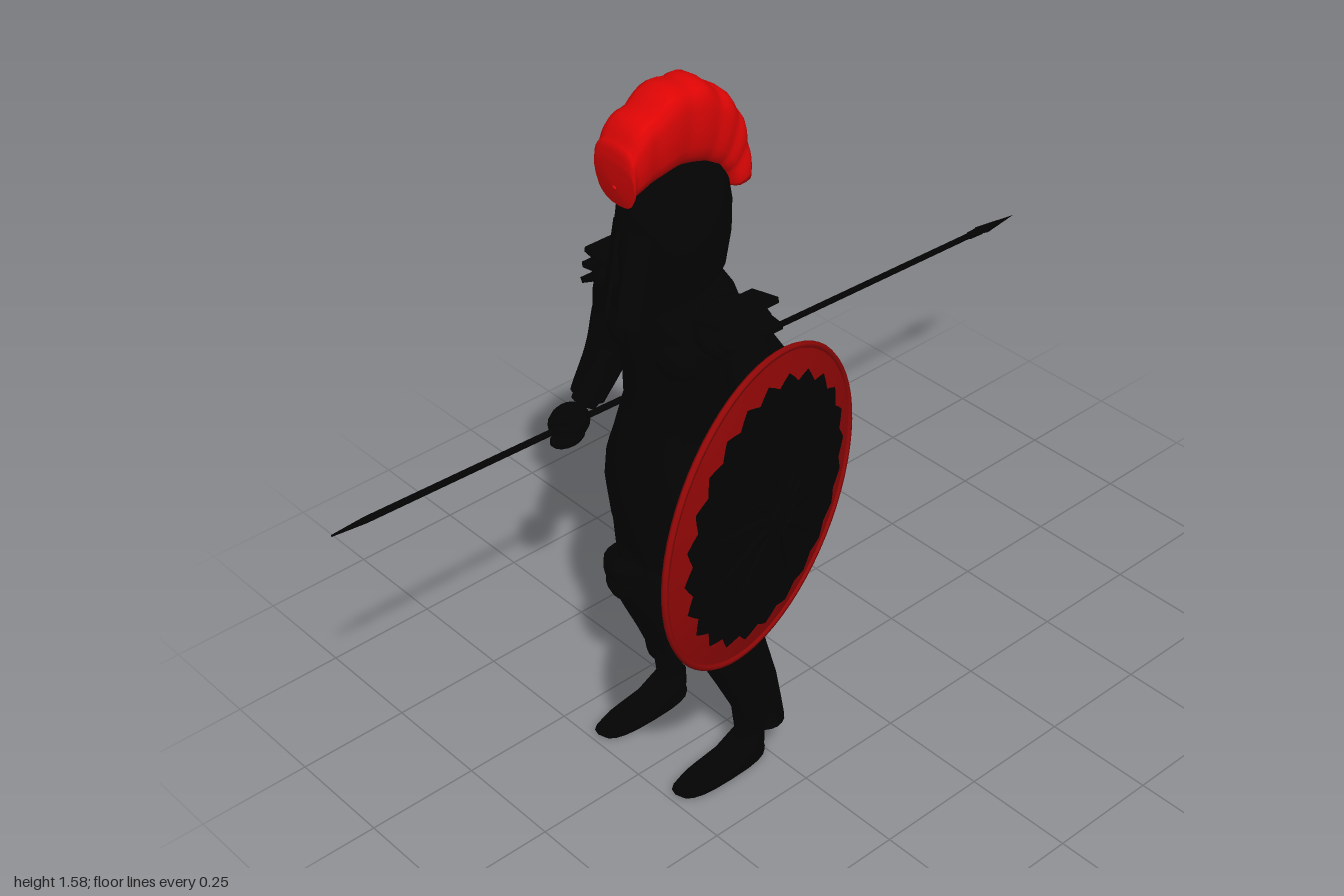
import * as THREE from 'three';

const V = (x, y, z) => new THREE.Vector3(x, y, z);
const MID = -0.018; // body centre line

// Skin a list of closed rings of points
function loft(rings) {
  const n = rings[0].length, pos = [], idx = [];
  rings.forEach(r => r.forEach(p => pos.push(p.x, p.y, p.z)));
  for (let j = 0; j < rings.length - 1; j++) {
    for (let i = 0; i < n; i++) {
      const a = j * n + i, b = j * n + (i + 1) % n;
      idx.push(a, b, b + n, a, b + n, a + n);
    }
  }
  const g = new THREE.BufferGeometry();
  g.setAttribute('position', new THREE.Float32BufferAttribute(pos, 3));
  g.setIndex(idx);
  g.computeVertexNormals();
  return g;
}

// Sine and cosine squared off by a power below 1
const soft = (v, power) => Math.sign(v) * Math.pow(Math.abs(v), power);

// Horizontal rounded sections, bottom to top: [y, cx, cz, rx, rz]
const body = (sections, n = 20, power = 1) => loft(sections.map(([y, cx, cz, rx, rz]) =>
  Array.from({ length: n }, (_, i) => {
    const a = i / n * Math.PI * 2;
    return V(cx + rx * soft(Math.sin(a), power), y, cz + rz * soft(Math.cos(a), power));
  })));

// Round limb along a curve with one radius for each point
function limb(points, radii) {
  const curve = new THREE.CatmullRomCurve3(points.map(p => V(...p)));
  const n = 12, steps = 12, last = radii.length - 1;
  const rings = [];
  for (let j = 0; j <= steps; j++) {
    const t = j / steps, k = Math.min(Math.floor(t * last), last - 1);
    const r = THREE.MathUtils.lerp(radii[k], radii[k + 1], t * last - k);
    const p = curve.getPoint(t), T = curve.getTangent(t);
    const B = T.clone().cross(V(0, 0.3, 1)).normalize(), N = B.clone().cross(T);
    rings.push(Array.from({ length: n }, (_, i) => {
      const a = i / n * Math.PI * 2;
      return p.clone().addScaledVector(N, r * Math.cos(a)).addScaledVector(B, r * Math.sin(a));
    }));
  }
  return loft(rings);
}

export function createModel() {
  const model = new THREE.Group();
  const mat = (name, color) => {
    const m = new THREE.MeshStandardMaterial({ color, side: THREE.DoubleSide });
    m.name = name;
    return m;
  };
  const black = mat('blackArmour', 0x030303);
  const crestRed = mat('crestRed', 0xde0505);
  const shieldRed = mat('shieldRed', 0x950707);
  const add = (name, geo, m = black, parent = model) => {
    const mesh = new THREE.Mesh(geo, m);
    mesh.name = name;
    parent.add(mesh);
    return mesh;
  };
  const unitSphere = new THREE.SphereGeometry(1, 14, 10);
  const ball = (name, x, y, z, sx, sy, sz) => {
    const b = add(name, unitSphere);
    b.position.set(x, y, z);
    b.scale.set(sx, sy, sz);
    return b;
  };

  // Torso and flared skirt
  add('cuirass', body([
    [0.72, MID, 0.33, 0.06, 0.1], [0.78, MID, 0.33, 0.13, 0.115], [0.86, MID, 0.33, 0.128, 0.105],
    [0.94, MID, 0.33, 0.135, 0.1], [1.02, MID, 0.33, 0.145, 0.11], [1.09, MID, 0.33, 0.152, 0.108],
    [1.14, MID, 0.33, 0.13, 0.095], [1.17, MID, 0.33, 0.075, 0.08], [1.22, MID, 0.335, 0.06, 0.07],
  ], 24));
  add('skirt', body([
    [0.525, -0.008, 0.325, 0.183, 0.125], [0.58, -0.015, 0.325, 0.194, 0.133], [0.65, -0.02, 0.325, 0.2, 0.136],
    [0.72, -0.022, 0.33, 0.182, 0.13], [0.79, -0.025, 0.33, 0.15, 0.12], [0.87, -0.022, 0.33, 0.126, 0.106],
  ], 28));

  for (const s of [-1, 1]) {
    ball('pectoral', MID + s * 0.062, 1.04, 0.4, 0.064, 0.055, 0.035);

    // Shoulder guards: a rounded cap under stacked flaps
    const cap = ball('pauldronCap', MID + s * 0.15, 1.11, 0.325, 0.07, 0.045, 0.085);
    cap.rotation.z = -s * 0.5;
    for (let k = 0; k < 3; k++) {
      const flap = add('pauldronFlap', new THREE.BoxGeometry(0.075, 0.012, 0.15 - k * 0.015));
      flap.position.set(MID + s * (0.158 + k * 0.02), 1.152 - k * 0.034, 0.325);
      flap.rotation.z = s * (0.2 - k * 0.35);
    }

    // Legs, greaves and feet
    const x = s < 0 ? -0.138 : 0.098, foot = s < 0 ? -0.144 : 0.109;
    add('thigh', body([
      [0.36, x, 0.325, 0.05, 0.07], [0.45, x + s * 0.004, 0.32, 0.056, 0.085], [0.60, x, 0.325, 0.068, 0.09],
    ], 16));
    add('greave', body([
      [0.112, foot + s * 0.018, 0.268, 0.056, 0.048], [0.15, x + s * 0.016, 0.272, 0.064, 0.053],
      [0.22, x + s * 0.008, 0.29, 0.066, 0.066], [0.30, x, 0.318, 0.077, 0.075],
      [0.36, x, 0.338, 0.076, 0.08], [0.41, x + s * 0.002, 0.355, 0.072, 0.083],
      [0.435, x, 0.375, 0.064, 0.063],
    ]));
    const knee = ball('kneeCap', x, 0.395, 0.4, 0.05, 0.05, 0.035);
    knee.rotation.x = -0.2;
    add('ankle', body([
      [0.03, foot, 0.288, 0.026, 0.038], [0.075, foot, 0.287, 0.02, 0.032], [0.17, foot, 0.285, 0.032, 0.042],
    ], 12));
    add('foot', body([
      [0, foot, 0.365, 0.004, 0.013], [0.001, foot, 0.365, 0.038, 0.115], [0.012, foot, 0.37, 0.039, 0.121],
      [0.024, foot, 0.36, 0.036, 0.108], [0.036, foot, 0.315, 0.034, 0.065], [0.07, foot, 0.287, 0.026, 0.037],
    ], 20, 0.75));

    // Cheek guards of the helmet
    const cheek = add('cheekGuard', new THREE.BoxGeometry(0.045, 0.19, 0.008));
    cheek.position.set(MID + s * 0.034, 1.215, 0.464);
    cheek.rotation.set(-0.22, s * 0.55, 0);
  }

  // Helmet
  add('helmet', body([
    [1.12, MID, 0.385, 0.055, 0.065], [1.15, MID, 0.365, 0.08, 0.09], [1.19, MID, 0.343, 0.093, 0.107],
    [1.26, MID, 0.335, 0.097, 0.116], [1.31, MID, 0.335, 0.095, 0.12], [1.35, MID, 0.335, 0.083, 0.118],
    [1.385, MID, 0.335, 0.063, 0.1], [1.41, MID, 0.332, 0.032, 0.06], [1.418, MID, 0.332, 0.006, 0.01],
  ], 24));
  const nose = add('noseGuard', new THREE.BoxGeometry(0.014, 0.12, 0.012));
  nose.position.set(MID, 1.27, 0.454);

  // Ribbed plume running front to back over the dome: [z, y] outlines
  const outline = pts => new THREE.CatmullRomCurve3(pts.map(([z, y]) => V(MID, y, z)));
  const outer = outline([[0.478, 1.45], [0.465, 1.505], [0.41, 1.55], [0.32, 1.578], [0.25, 1.545],
    [0.205, 1.495], [0.185, 1.43], [0.178, 1.33]]);
  const inner = outline([[0.468, 1.365], [0.455, 1.38], [0.41, 1.395], [0.34, 1.405], [0.28, 1.39],
    [0.25, 1.37], [0.232, 1.35], [0.222, 1.32]]);
  const plume = [], steps = 48;
  for (let j = 0; j <= steps; j++) {
    const t = j / steps, o = outer.getPoint(t), i = inner.getPoint(t);
    const half = o.clone().sub(i).multiplyScalar(0.5), mid = o.clone().add(i).multiplyScalar(0.5);
    const end = j === 0 || j === steps ? 0.08 : 1;
    const rib = 1 + 0.14 * (Math.abs(Math.sin(t * Math.PI * 7)) - 0.6);
    plume.push(Array.from({ length: 20 }, (_, k) => {
      const a = k / 20 * Math.PI * 2, c = Math.cos(a);
      const h = soft(c, 0.7) * end * (c > 0 ? rib : 1);
      const w = 0.062 * soft(Math.sin(a), 0.7) * end * (0.88 + 0.16 * c) * (0.5 + rib / 2);
      return mid.clone().addScaledVector(half, h).add(V(w, 0, 0));
    }));
  }
  add('plume', loft(plume), crestRed);

  // Arms, with the left forearm held inside the shield
  add('rightArm', limb([[-0.15, 1.1, 0.32], [-0.23, 1.04, 0.305], [-0.262, 0.95, 0.295], [-0.27, 0.85, 0.31],
    [-0.285, 0.75, 0.37]], [0.05, 0.05, 0.045, 0.04, 0.028]));
  add('leftArm', limb([[0.11, 1.1, 0.325], [0.175, 1.085, 0.335], [0.222, 1.03, 0.365], [0.236, 0.9, 0.385],
    [0.258, 0.74, 0.42]], [0.05, 0.048, 0.042, 0.038, 0.026]));
  add('rightBracer', limb([[-0.264, 0.95, 0.293], [-0.274, 0.86, 0.31], [-0.29, 0.76, 0.355]], [0.048, 0.047, 0.038]));
  add('leftBracer', limb([[0.224, 1.0, 0.368], [0.236, 0.9, 0.385], [0.25, 0.79, 0.408]], [0.042, 0.041, 0.032]));
  for (const [side, x, y, z] of [['right', -0.292, 0.713, 0.405], ['left', 0.258, 0.715, 0.425]]) {
    ball(side + 'Hand', x, y, z, 0.037, 0.042, 0.048);
    ball(side + 'Fingers', x + 0.016, y - 0.02, z + 0.018, 0.026, 0.02, 0.042);
    ball(side + 'Thumb', x + 0.015, y + 0.03, z + 0.025, 0.016, 0.013, 0.032);
  }

  // Spear, built along +y then aimed to the rear
  const spear = new THREE.Group();
  spear.name = 'spear';
  const butt = V(-0.265, 0.75, 1), tip = V(-0.36, 0.605, -1), len = butt.distanceTo(tip);
  const rod = (name, rTop, rBottom, from, to, sides, flat = 1) => {
    const m = add(name, new THREE.CylinderGeometry(rTop, rBottom, to - from, sides), black, spear);
    m.position.y = (from + to) / 2;
    m.scale.z = flat;
  };
  rod('spearButt', 0.007, 0.002, 0, 0.08, 8);
  rod('spearShaft', 0.007, 0.007, 0.08, len - 0.13, 8);
  rod('spearSocket', 0.01, 0.009, len - 0.16, len - 0.12, 8);
  rod('spearHeadBase', 0.019, 0.009, len - 0.14, len - 0.115, 4, 0.5);
  rod('spearHead', 0, 0.019, len - 0.115, len, 4, 0.5);
  spear.position.copy(butt);
  spear.quaternion.setFromUnitVectors(V(0, 1, 0), tip.clone().sub(butt).normalize());
  model.add(spear);

  // Domed round shield, built facing +y
  const shield = new THREE.Group();
  shield.name = 'shield';
  const R = 0.326, dome = r => 0.036 * (1 - (r / R) ** 2);
  const dish = (edge, lift) => loft([1, 0.8, 0.6, 0.4, 0.2, 0.05].map(k =>
    Array.from({ length: 96 }, (_, i) => {
      const a = i / 96 * Math.PI * 2, r = k * edge(i, a);
      return V(r * Math.sin(a), dome(r) + lift, r * Math.cos(a));
    })));
  const teeth = i => 0.26 + 0.02 * Math.abs((i % 4) / 2 - 1);
  add('shieldBowl', dish(() => R, 0), shieldRed, shield);
  add('shieldFace', dish(teeth, 0.004), black, shield);
  add('shieldLining', dish((i, a) => teeth(i) - 0.02 + 0.025 * Math.cos(a), -0.004), black, shield);
  const rim = add('shieldRim', new THREE.TorusGeometry(R - 0.002, 0.007, 6, 64), shieldRed, shield);
  rim.rotation.x = Math.PI / 2;
  for (let k = 0; k < 12; k++) {
    const spoke = new THREE.Group();
    spoke.name = 'shieldRay';
    const ray = add('ray', new THREE.ConeGeometry(0.014, 0.18, 4), black, spoke);
    ray.position.set(0, dome(0.14) + 0.004, 0.14);
    ray.rotation.x = Math.PI / 2 + 0.09;
    ray.scale.z = 0.3;
    spoke.rotation.y = k * Math.PI / 6;
    shield.add(spoke);
  }
  const boss = add('shieldBoss', unitSphere, black, shield);
  boss.position.y = dome(0);
  boss.scale.set(0.03, 0.009, 0.03);
  shield.position.set(0.276, 0.802, 0.39);
  shield.quaternion.setFromUnitVectors(V(0, 1, 0), V(0.964, -0.022, -0.264).normalize());
  model.add(shield);

  return model;
}
